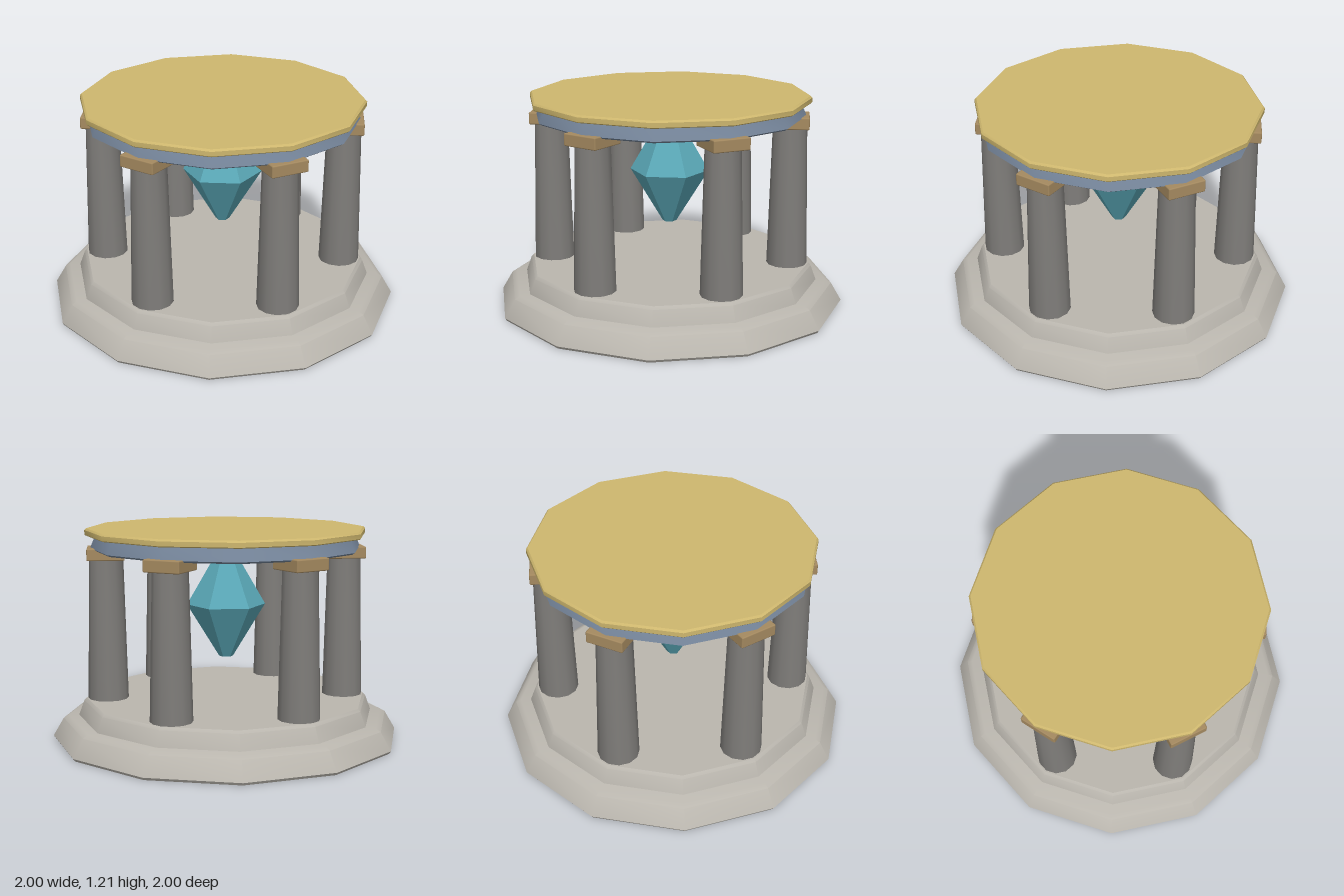
import * as THREE from 'three';
import { toCreasedNormals } from 'three/addons/utils/BufferGeometryUtils.js';
import { RoundedBoxGeometry } from 'three/addons/geometries/RoundedBoxGeometry.js';

const material = (name, color) => {
  const m = new THREE.MeshStandardMaterial({ color });
  m.name = name;
  return m;
};

// Closed solid of revolution from [radius, height] pairs, listed bottom to top
function turned(name, profile, sides, mat, crease = 0.6) {
  const points = profile.map(([r, y]) => new THREE.Vector2(r, y));
  points.unshift(new THREE.Vector2(0, profile[0][1]));
  points.push(new THREE.Vector2(0, profile[profile.length - 1][1]));
  const geometry = toCreasedNormals(new THREE.LatheGeometry(points, sides), crease);
  const mesh = new THREE.Mesh(geometry, mat);
  mesh.name = name;
  return mesh;
}

export function createModel() {
  const paleStone = material('pale stone', 0xbab6ae);
  const darkStone = material('dark stone', 0x7f7d7a);
  const bronze = material('bronze', 0xa58a60);
  const slate = material('slate blue', 0x76869b);
  const gold = material('gold', 0xceb76e);
  const teal = material('teal crystal', 0x5aa8b7);

  const model = new THREE.Group();
  model.name = 'pavilion';

  // Two stepped, twelve-sided base tiers
  model.add(turned('lowerStep', [[0.99, 0], [1, 0.015], [0.94, 0.118], [0.91, 0.135]], 12, paleStone));
  model.add(turned('upperStep', [[0.855, 0.125], [0.82, 0.22], [0.805, 0.235]], 12, paleStone));

  // Ring of six tapered columns with square capitals
  for (let i = 0; i < 6; i++) {
    const bay = new THREE.Group();
    bay.name = `columnBay${i + 1}`;
    bay.rotation.y = (i * Math.PI) / 3;
    const column = turned('column', [[0.116, 0.225], [0.096, 1.045]], 12, darkStone);
    column.position.z = 0.68;
    const capital = new THREE.Mesh(new RoundedBoxGeometry(0.212, 0.068, 0.212, 1, 0.007), bronze);
    capital.name = 'capital';
    capital.position.set(0, 1.069, 0.682);
    bay.add(column, capital);
    model.add(bay);
  }

  // Roof ring and its gold slab
  model.add(turned('roofRing', [[0.755, 1.088], [0.77, 1.098], [0.738, 1.175]], 12, slate));
  model.add(turned('roofSlab', [[0.795, 1.17], [0.8, 1.175], [0.8, 1.2], [0.79, 1.21]], 12, gold));

  // Six-sided crystal hanging under the roof
  model.add(turned('crystal', [[0.04, 0.468], [0.225, 0.77], [0.04, 1.09]], 6, teal, 0.2));

  return model;
}
